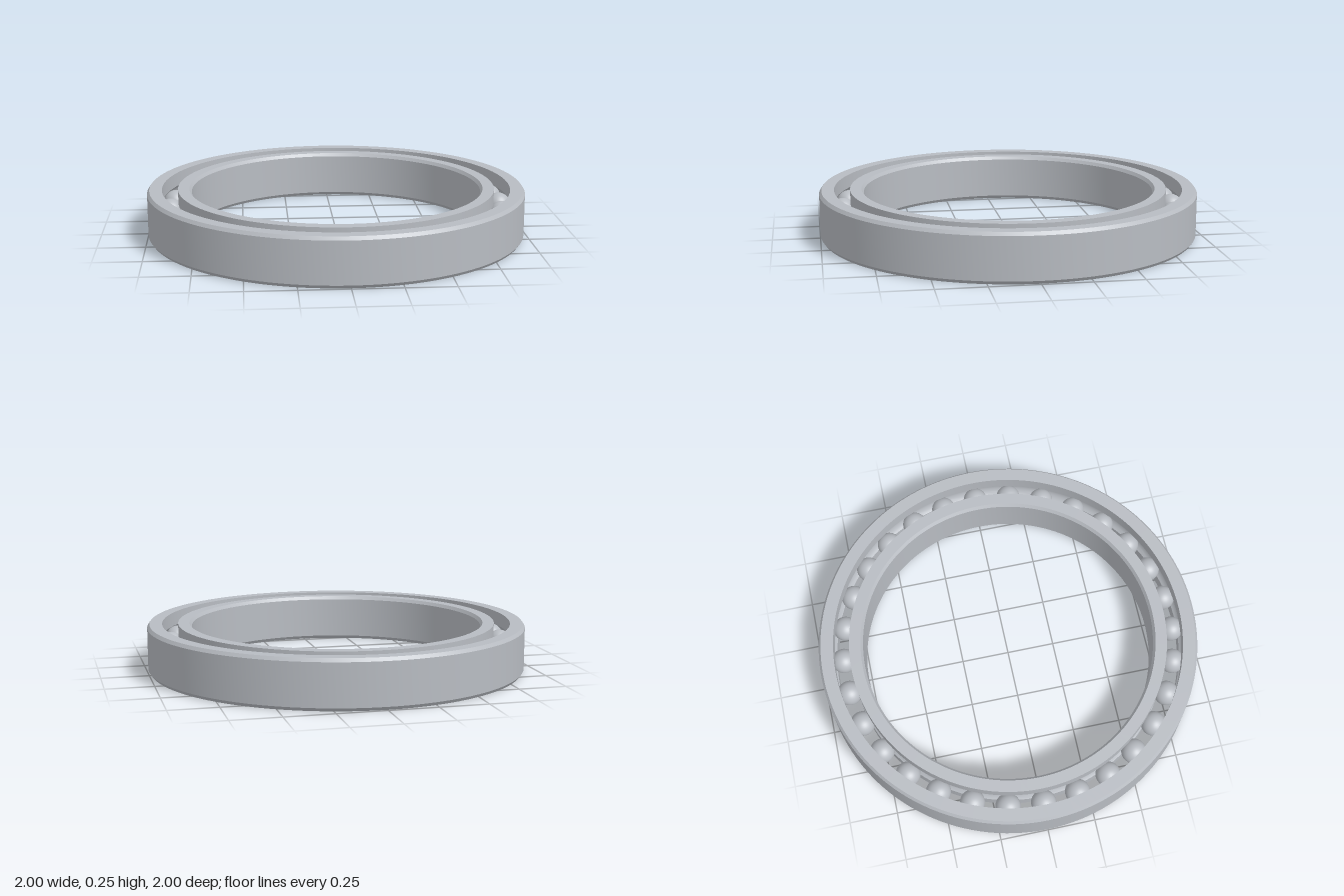
import * as THREE from 'three';
import { toCreasedNormals } from 'three/addons/utils/BufferGeometryUtils.js';

const HEIGHT = 0.252, MID = HEIGHT / 2;
const PITCH = 0.88;          // radius of the circle of ball centres
const BALL = 0.065, GROOVE = 0.067;
const BALLS = 30;
const CX = 0.012, CY = 0.017; // chamfer width and height

// Points of a race groove, swept around the ball centre
function groove(from, to, steps = 12) {
  return Array.from({ length: steps + 1 }, (_, i) => {
    const a = from + (to - from) * i / steps;
    return [PITCH + GROOVE * Math.cos(a), MID + GROOVE * Math.sin(a)];
  });
}

// Closed ring turned from a counter-clockwise cross-section
function ring(name, profile, material) {
  const points = [...profile, profile[0]].map(([x, y]) => new THREE.Vector2(x, y));
  const geometry = toCreasedNormals(new THREE.LatheGeometry(points, 144), 0.45);
  const mesh = new THREE.Mesh(geometry, material);
  mesh.name = name;
  return mesh;
}

export function createModel() {
  const model = new THREE.Group();
  model.name = 'ballBearing';
  const steel = new THREE.MeshStandardMaterial({ color: 0xb8bcc2 });
  steel.name = 'steel';

  // Outer ring: chamfered outside, grooved inside
  const outerShoulder = 0.922;
  const a = Math.acos((outerShoulder - PITCH) / GROOVE);
  model.add(ring('outerRing', [
    [1 - CX, 0], [1, CY], [1, HEIGHT - CY], [1 - CX, HEIGHT],
    [outerShoulder, HEIGHT], ...groove(a, -a), [outerShoulder, 0],
  ], steel));

  // Inner ring: grooved outside, chamfered bore
  const innerShoulder = 0.838, bore = 0.766;
  const b = Math.acos((PITCH - innerShoulder) / GROOVE);
  model.add(ring('innerRing', [
    [innerShoulder, 0], ...groove(Math.PI + b, Math.PI - b), [innerShoulder, HEIGHT],
    [bore + CX, HEIGHT], [bore, HEIGHT - CY], [bore, CY], [bore + CX, 0],
  ], steel));

  // Balls evenly spaced between the rings
  const balls = new THREE.Group();
  balls.name = 'balls';
  const ballGeometry = new THREE.SphereGeometry(BALL, 32, 20);
  for (let i = 0; i < BALLS; i++) {
    const t = i / BALLS * Math.PI * 2;
    const ball = new THREE.Mesh(ballGeometry, steel);
    ball.name = 'ball';
    ball.position.set(PITCH * Math.cos(t), MID, PITCH * Math.sin(t));
    balls.add(ball);
  }
  model.add(balls);
  return model;
}
